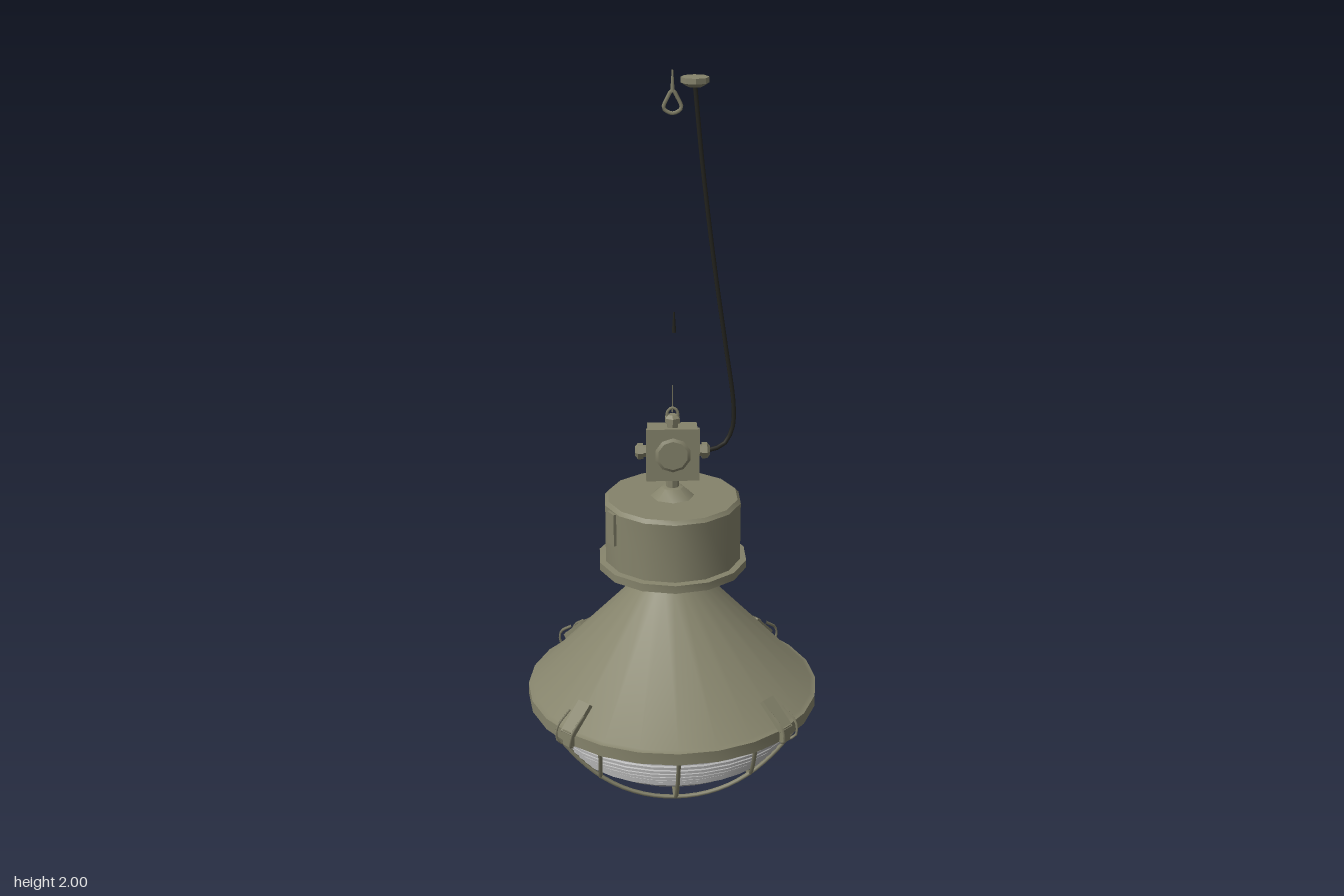
import * as THREE from 'three';
import { toCreasedNormals } from 'three/addons/utils/BufferGeometryUtils.js';

const V = (x, y, z = 0) => new THREE.Vector3(x, y, z);

export function createModel() {
  const model = new THREE.Group();
  model.name = 'industrialPendantLamp';
  const paint = new THREE.MeshStandardMaterial({ name: 'olivePaint', color: 0x85836b });
  const glass = new THREE.MeshStandardMaterial({ name: 'greyGlass', color: 0xb2b2b2 });
  const rubber = new THREE.MeshStandardMaterial({ name: 'blackRubber', color: 0x24241f });

  const add = (name, geo, mat = paint, pos = [0, 0, 0], parent = model) => {
    const mesh = new THREE.Mesh(geo, mat);
    mesh.name = name;
    mesh.position.set(...pos);
    parent.add(mesh);
    return mesh;
  };
  const lathe = (pts, sides) => toCreasedNormals(
    new THREE.LatheGeometry(pts.map(p => new THREE.Vector2(...p)), sides), 0.6);
  const tube = (pts, radius, steps = 16, sides = 5, closed = false) =>
    new THREE.TubeGeometry(new THREE.CatmullRomCurve3(pts, closed), steps, radius, sides, closed);

  // Conical shade with its rim and neck
  add('shade', lathe([[0.35, 0.275], [0.402, 0.27], [0.402, 0.303], [0.388, 0.307],
    [0.093, 0.62], [0.093, 0.68]], 24));

  // Ballast housing with flange and stepped underside
  add('housing', lathe([[0.09, 0.685], [0.13, 0.685], [0.135, 0.675], [0.165, 0.675], [0.17, 0.668],
    [0.203, 0.668], [0.203, 0.69], [0.186, 0.692], [0.186, 0.855], [0.177, 0.865], [0, 0.865]], 14));
  const label = add('housingLatch', new THREE.BoxGeometry(0.035, 0.09, 0.008), paint, [-0.165, 0.81, 0.092]);
  label.rotation.y = Math.atan2(-0.165, 0.092);

  // Stem between the housing and the junction box
  add('stem', lathe([[0.06, 0.864], [0.03, 0.89], [0.018, 0.892], [0.018, 0.925]], 8));

  // Junction box with raised covers and cable glands
  add('junctionBox', new THREE.BoxGeometry(0.132, 0.138, 0.06), paint, [0, 0.992, -0.003]);
  add('frontCover', new THREE.BoxGeometry(0.142, 0.146, 0.012), paint, [0, 0.992, 0.027]);
  const cover = add('coverBoss', new THREE.CylinderGeometry(0.04, 0.05, 0.006, 10), paint, [0, 0.992, 0.035]);
  cover.rotation.x = Math.PI / 2;
  const gland = lathe([[0.016, 0], [0.016, 0.014], [0.022, 0.014], [0.022, 0.028], [0.012, 0.036], [0, 0.036]], 6);
  for (const [name, x, y, turn] of [['leftGland', 0.064, 0.993, -1], ['rightGland', -0.064, 0.993, 1], ['topGland', 0, 1.06, 0]])
    add(name, gland, paint, [x, y, 0]).rotation.z = turn * Math.PI / 2;

  // Suspension eye on the box and the loose wire above it
  add('suspensionEye', tube([V(-0.013, 1.08), V(-0.013, 1.105), V(0, 1.115), V(0.013, 1.105), V(0.013, 1.08)], 0.004));
  add('lowerWire', new THREE.CylinderGeometry(0.001, 0.002, 0.075, 4), paint, [0, 1.14, 0]);
  add('wireClip', new THREE.CylinderGeometry(0.002, 0.006, 0.055, 5), rubber, [0.004, 1.35, 0]);

  // Ceiling hook
  add('hookLoop', tube([V(0, 1.95), V(-0.012, 1.932), V(-0.022, 1.905), V(0, 1.892),
    V(0.022, 1.905), V(0.012, 1.932)], 0.005, 20, 5, true));
  add('hookPeg', new THREE.CylinderGeometry(0.002, 0.006, 0.055, 5), paint, [0, 1.972, 0]);

  // Power cable and ceiling cap
  add('powerCable', tube([V(0.095, 0.993), V(0.135, 1.005, -0.006), V(0.16, 1.05, -0.012), V(0.163, 1.11, -0.012),
    V(0.137, 1.3, -0.006), V(0.108, 1.5), V(0.077, 1.75), V(0.056, 1.96)], 0.006, 40, 6), rubber);
  add('ceilingCap', lathe([[0, 1.958], [0.02, 1.958], [0.036, 1.968], [0.036, 1.982], [0, 1.984]], 8), paint, [0.056, 0, 0]);

  // Glass bowl: smooth bottom, ribbed upper band
  const bowl = [[0, 0.052], [0.07, 0.056], [0.14, 0.069], [0.2, 0.088], [0.25, 0.112], [0.295, 0.148]];
  const ribs = 8;
  for (let i = 0; i < ribs; i++) {
    const r = 0.295 + 0.07 * Math.sin((i + 1) / ribs * Math.PI / 2);
    const y = 0.148 + 0.0155 * i;
    bowl.push([r, y + 0.004], [r, y + 0.011], [r - 0.007, y + 0.0155]);
  }
  add('glassBowl', lathe(bowl, 32), glass);

  // Wire guard: three bows each way
  const guardY = r => 0.01 + 0.262 * Math.pow(r / 0.39, 2.8);
  for (let dir = 0; dir < 2; dir++) {
    const guard = new THREE.Group();
    guard.name = dir ? 'crossGuard' : 'lengthGuard';
    guard.rotation.y = dir * Math.PI / 2;
    model.add(guard);
    for (const x of [-0.205, 0, 0.205]) {
      const half = Math.sqrt(0.39 ** 2 - x * x), pts = [];
      for (let i = 0; i <= 14; i++) {
        const z = half * Math.sin((i / 7 - 1) * Math.PI / 2);
        pts.push(V(x, guardY(Math.hypot(x, z)), z));
      }
      add('guardWire', tube(pts, 0.006, 28, 5), paint, [0, 0, 0], guard);
    }
  }

  // Four toggle clips on the rim, built facing +z
  for (let i = 0; i < 4; i++) {
    const clip = new THREE.Group();
    clip.name = 'rimClip';
    clip.rotation.y = Math.PI / 4 + i * Math.PI / 2;
    model.add(clip);
    const lever = add('clipLever', new THREE.BoxGeometry(0.042, 0.014, 0.095), paint, [0, 0.338, 0.376], clip);
    lever.rotation.x = 0.75;
    add('clipBase', new THREE.BoxGeometry(0.03, 0.045, 0.014), paint, [0, 0.293, 0.407], clip);
    for (const s of [-1, 1])
      add('clipWire', tube([V(s * 0.026, 0.355, 0.375), V(s * 0.028, 0.32, 0.42), V(s * 0.024, 0.285, 0.425),
        V(s * 0.012, 0.268, 0.405)], 0.004, 8, 4), paint, [0, 0, 0], clip);
  }
  return model;
}
